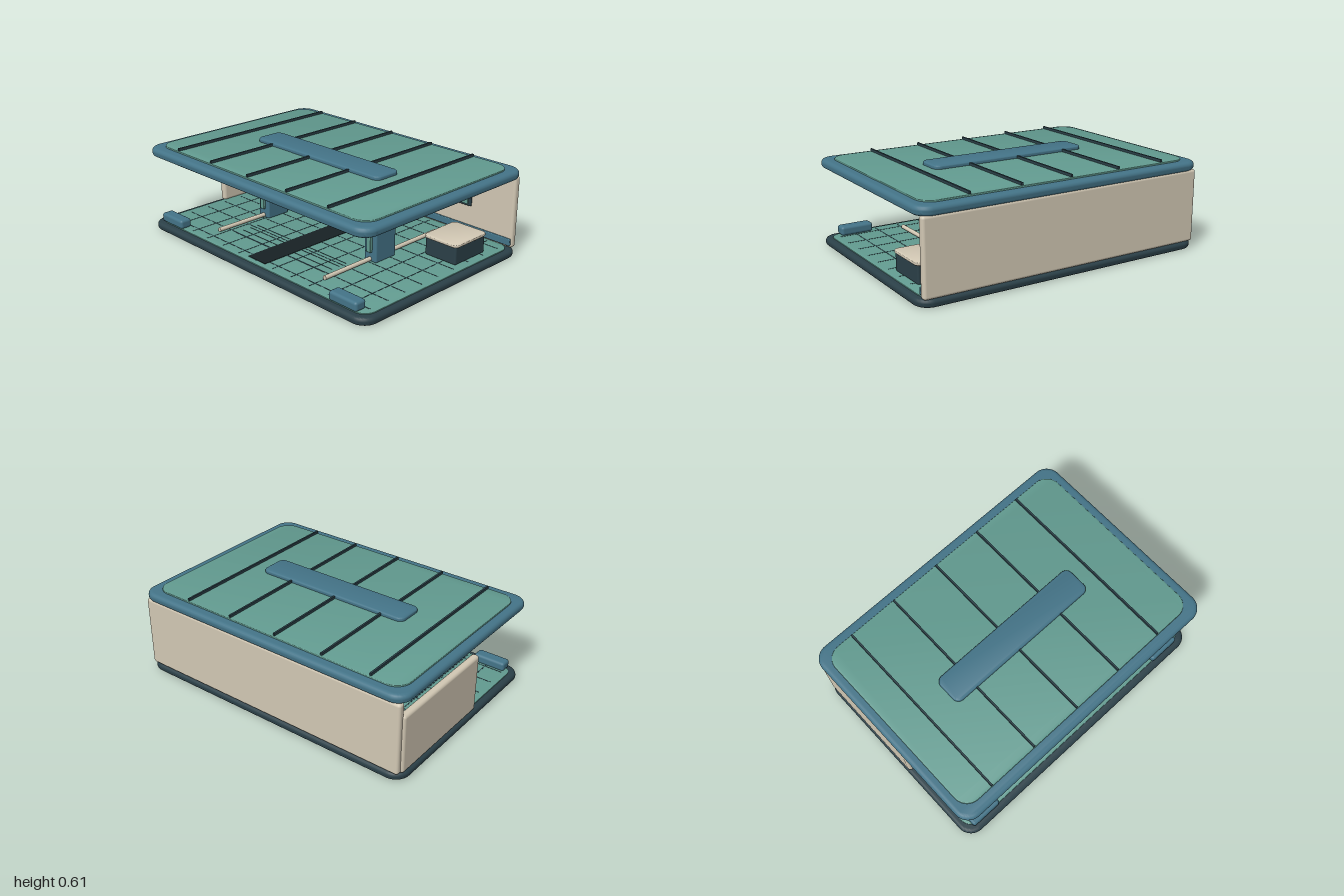
import * as THREE from 'three';
import { toCreasedNormals } from 'three/addons/utils/BufferGeometryUtils.js';
import { RoundedBoxGeometry } from 'three/addons/geometries/RoundedBoxGeometry.js';

const mat = (name, color) => {
  const m = new THREE.MeshStandardMaterial({ color });
  m.name = name;
  return m;
};

export function createModel() {
  const model = new THREE.Group();
  model.name = 'pavilion';
  const blue = mat('slate blue', 0x447488);
  const teal = mat('soft teal', 0x629b90);
  const cream = mat('warm cream', 0xd2c8b4);
  const dark = mat('dark slate', 0x2b4048);
  const black = mat('near black', 0x172124);

  const add = (name, geo, material, x = 0, y = 0, z = 0, parent = model) => {
    const m = new THREE.Mesh(geo, material);
    m.name = name;
    m.position.set(x, y, z);
    parent.add(m);
    return m;
  };

  // Box given by its limits, with optional rounded edges
  const block = (name, material, [x0, x1], [y0, y1], [z0, z1], r = 0, parent = model) => {
    const w = x1 - x0, h = y1 - y0, d = z1 - z0;
    const geo = r ? new RoundedBoxGeometry(w, h, d, 3, r) : new THREE.BoxGeometry(w, h, d);
    return add(name, geo, material, (x0 + x1) / 2, (y0 + y1) / 2, (z0 + z1) / 2, parent);
  };

  // Horizontal slab with rounded corners and a bevelled rim
  const slab = (name, material, w, d, r, y0, y1, bevel, x = 0, z = 0) => {
    const a = w / 2 - bevel, b = d / 2 - bevel, c = r - bevel;
    const s = new THREE.Shape();
    s.moveTo(-a + c, -b);
    s.lineTo(a - c, -b);
    s.absarc(a - c, -b + c, c, -Math.PI / 2, 0);
    s.lineTo(a, b - c);
    s.absarc(a - c, b - c, c, 0, Math.PI / 2);
    s.lineTo(-a + c, b);
    s.absarc(-a + c, b - c, c, Math.PI / 2, Math.PI);
    s.lineTo(-a, -b + c);
    s.absarc(-a + c, -b + c, c, Math.PI, Math.PI * 1.5);
    const geo = new THREE.ExtrudeGeometry(s, {
      depth: y1 - y0 - 2 * bevel, bevelEnabled: true, bevelSize: bevel,
      bevelThickness: bevel, bevelSegments: 4, curveSegments: 8,
    });
    geo.rotateX(-Math.PI / 2);
    return add(name, toCreasedNormals(geo, 0.6), material, x, y0 + bevel, z);
  };

  // Cylinder lying along x or z
  const rod = (name, material, axis, r, len, x, y, z) => {
    const geo = new THREE.CylinderGeometry(r, r, len, 16);
    if (axis === 'x') geo.rotateZ(Math.PI / 2);
    else geo.rotateX(Math.PI / 2);
    return add(name, geo, material, x, y, z);
  };

  // Base and tiled floor
  slab('base', dark, 2, 1.41, 0.1, 0, 0.05, 0.022);
  slab('floor', teal, 1.92, 1.32, 0.08, 0.045, 0.056, 0.003);
  for (let i = -5; i <= 5; i++) {
    const x = i * 0.16;
    block('floorJointLengthwise', dark, [x - 0.003, x + 0.003], [0.055, 0.0572], [-0.63, 0.63]);
  }
  for (let i = -4; i <= 4; i++) {
    const z = i * 0.145;
    block('floorJointCrosswise', dark, [-0.92, 0.92], [0.055, 0.0572], [z - 0.003, z + 0.003]);
  }

  // Central floor grating
  block('floorGrating', black, [-0.08, 0.08], [0.055, 0.0585], [-0.49, 0.62]);
  for (let i = 0; i < 4; i++) {
    const z = 0.26 + i * 0.06;
    block('floorGroove', dark, [-0.42, 0.42], [0.055, 0.0578], [z - 0.002, z + 0.002]);
  }

  // Walls and skirting
  block('backWall', cream, [-0.975, 0.975], [0.05, 0.525], [-0.7, -0.65], 0.018);
  block('sideWall', cream, [-0.99, -0.94], [0.05, 0.44], [-0.67, 0.125], 0.02);
  block('skirting', blue, [-0.94, 0.97], [0.068, 0.115], [-0.652, -0.634], 0.006);

  // Windows along the inside of the back wall
  for (const x of [-0.7, -0.123, 0.468]) {
    const win = new THREE.Group();
    win.name = 'window';
    win.position.set(x, 0.34, 0);
    model.add(win);
    block('windowFrame', dark, [-0.185, 0.185], [-0.092, 0.092], [-0.652, -0.634], 0.006, win);
    block('windowGlass', teal, [-0.167, 0.167], [-0.077, 0.077], [-0.636, -0.626], 0, win);
    block('windowMullion', cream, [-0.006, 0.006], [-0.08, 0.075], [-0.628, -0.616], 0, win);
    block('windowBar', dark, [-0.15, 0.15], [0.026, 0.034], [-0.627, -0.62], 0, win);
  }

  // Upper rail and light strip
  rod('upperRail', blue, 'x', 0.016, 1.785, -0.028, 0.475, -0.627);
  rod('lightStrip', cream, 'x', 0.007, 1.465, -0.007, 0.453, -0.622);

  // Columns with front inlay and floor rails
  for (const x of [-0.502, 0.493]) {
    block('column', blue, [x - 0.05, x + 0.05], [0.054, 0.53], [-0.045, 0.132], 0.012);
    block('columnInlay', teal, [x - 0.018, x + 0.018], [0.12, 0.525], [0.128, 0.15], 0.005);
    rod('floorRail', cream, 'z', 0.014, 1.0, x, 0.073, 0.015);
  }

  // Front bumpers
  for (const x of [-0.818, 0.79]) {
    block('bumper', blue, [x - 0.11, x + 0.11], [0.054, 0.115], [0.587, 0.67], 0.018);
  }

  // Storage chest
  block('chest', dark, [0.656, 0.896], [0.054, 0.175], [-0.476, -0.19], 0.012);
  slab('chestLid', cream, 0.262, 0.307, 0.035, 0.17, 0.191, 0.008, 0.776, -0.333);

  // Roof with inset panel, seams and central spine
  slab('roof', blue, 2, 1.42, 0.1, 0.518, 0.577, 0.026);
  slab('roofPanel', teal, 1.88, 1.285, 0.1, 0.57, 0.588, 0.006, -0.003, -0.002);
  for (const x of [-0.735, -0.396, -0.045, 0.304, 0.648]) {
    block('roofSeam', dark, [x - 0.006, x + 0.006], [0.58, 0.605], [-0.638, 0.638]);
  }
  slab('roofSpine', blue, 1.1, 0.2, 0.045, 0.58, 0.612, 0.014, -0.003, 0.037);

  return model;
}
